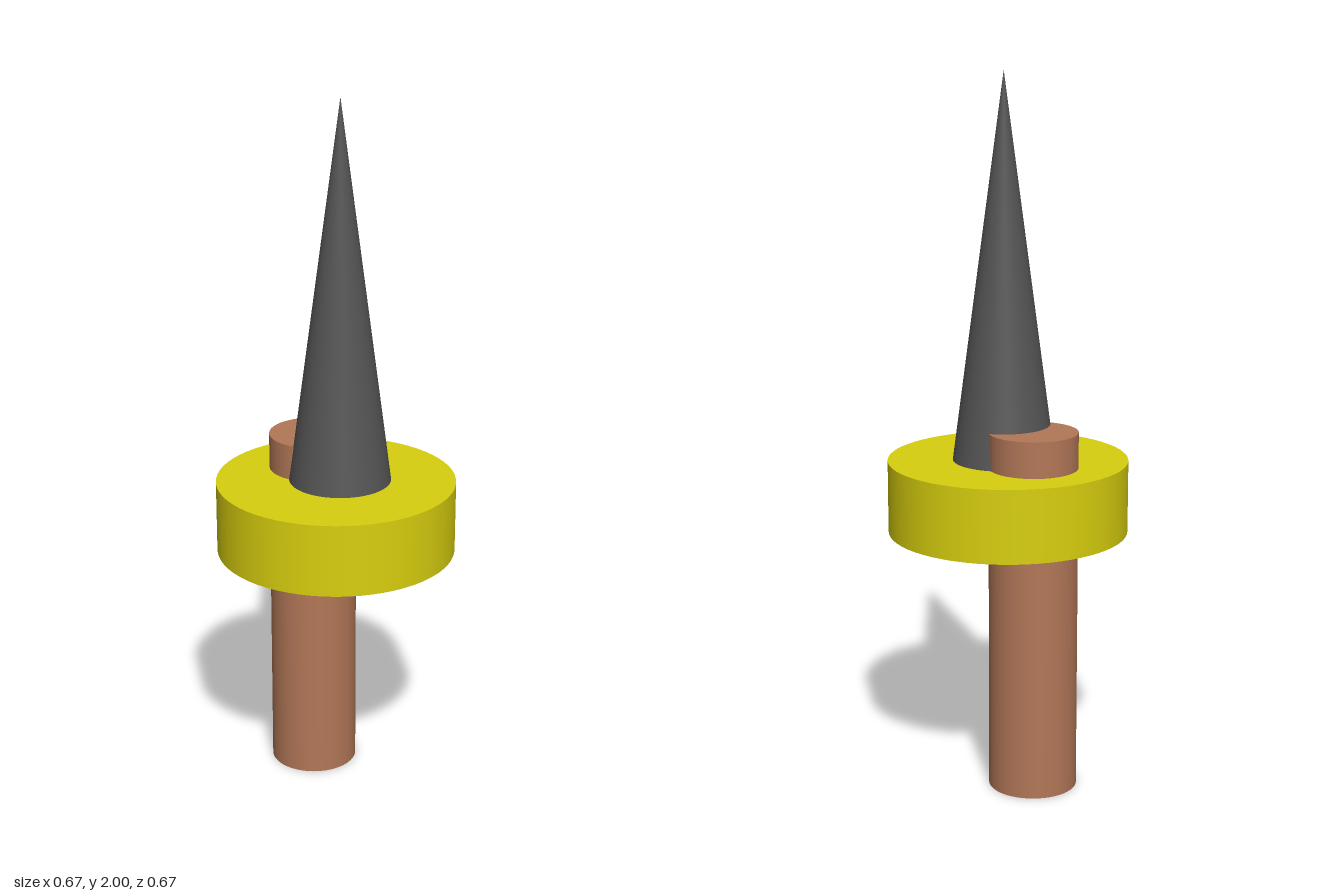
import * as THREE from 'three';

const paint = (name, color) => {
  const material = new THREE.MeshStandardMaterial({ color });
  material.name = name;
  return material;
};

export function createModel() {
  const group = new THREE.Group();
  const yellow = paint('yellow', 0xd8cf0e);
  const copper = paint('copper brown', 0xb27757);
  const grey = paint('dark grey', 0x555555);

  // Upright round part spanning bottom..top, centred on (x, z)
  const addRound = (name, material, rTop, rBottom, bottom, top, x, z) => {
    const geometry = new THREE.CylinderGeometry(rTop, rBottom, top - bottom, 64);
    const mesh = new THREE.Mesh(geometry, material);
    mesh.name = name;
    mesh.position.set(x, (bottom + top) / 2, z);
    group.add(mesh);
  };

  // Grip, set towards the back and poking through the guard
  addRound('handle', copper, 0.124, 0.124, 0, 1.027, 0.014, -0.121);
  // Thick disc between grip and spike
  addRound('guard', yellow, 0.337, 0.337, 0.72, 0.926, 0, 0);
  // Spike, its base sunk slightly into the guard
  addRound('spike', grey, 0, 0.148, 0.89, 2, 0.01, 0.006);

  return group;
}
